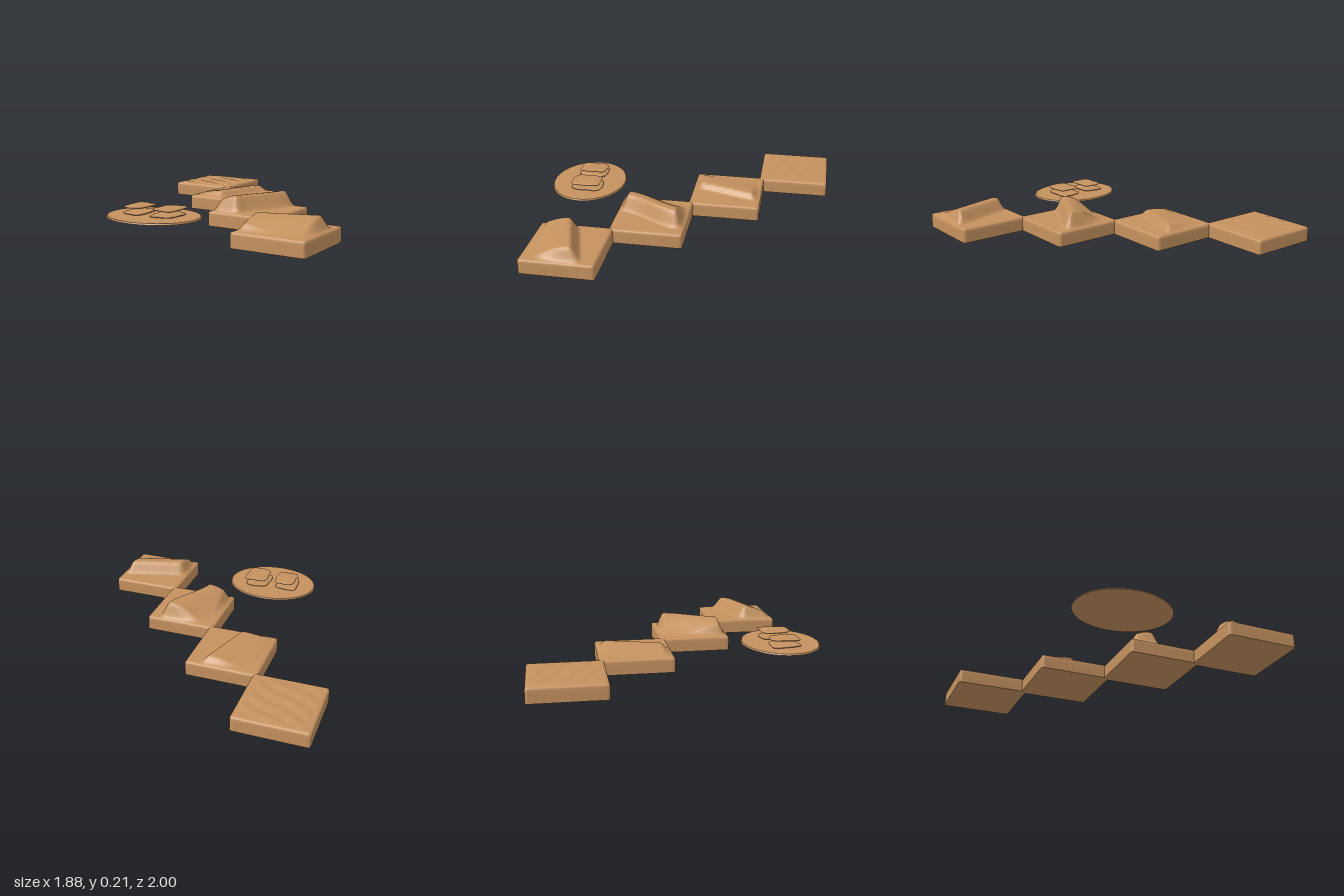
import * as THREE from 'three';
import { mergeVertices, toCreasedNormals } from 'three/addons/utils/BufferGeometryUtils.js';

const SIZE = 0.495, HEIGHT = 0.1, ROUND = 0.018;
const step = THREE.MathUtils.smoothstep;
const clamp = THREE.MathUtils.clamp;

// fades a feature out towards a tile edge
const fade = (v) => 1 - step(Math.abs(v), 0.175, 0.235);

// dune profile: gentle windward rise, crest, steep slip face (d = distance past slip centre)
function duneProfile(d, slip, rise) {
  if (d > -slip) return 1 - step(d, -slip, slip);
  const t = (-d - slip) / rise;
  return t < 1 ? 0.5 + 0.5 * Math.cos(Math.PI * t) : 0;
}

// square tile with rounded top edge and a height function on its top
function tileGeometry(heightAt) {
  const geo = new THREE.BoxGeometry(SIZE, HEIGHT, SIZE, 72, 10, 72);
  geo.deleteAttribute('uv');
  geo.deleteAttribute('normal');
  const pos = geo.attributes.position;
  const p = new THREE.Vector3(), inner = new THREE.Vector3();
  const lim = SIZE / 2 - ROUND;
  for (let i = 0; i < pos.count; i++) {
    p.fromBufferAttribute(pos, i);
    const isTop = p.y > HEIGHT / 2 - 1e-5;
    inner.set(clamp(p.x, -lim, lim), Math.min(p.y, HEIGHT / 2 - ROUND), clamp(p.z, -lim, lim));
    p.sub(inner);
    if (p.length() > ROUND) p.setLength(ROUND);
    p.add(inner);
    if (isTop) p.y += heightAt(p.x, p.z) * fade(p.x) * fade(p.z);
    pos.setXYZ(i, p.x, p.y + HEIGHT / 2, p.z);
  }
  return toCreasedNormals(mergeVertices(geo), 0.8);
}

// flat stone slab with a rounded-square outline and a slightly uneven rim
function slabGeometry(w, h, d, seed) {
  const geo = new THREE.SphereGeometry(1, 40, 16);
  geo.deleteAttribute('uv');
  geo.deleteAttribute('normal');
  const pos = geo.attributes.position;
  for (let i = 0; i < pos.count; i++) {
    const x = pos.getX(i), y = pos.getY(i), z = pos.getZ(i);
    const a = Math.atan2(z, x);
    const c = Math.abs(Math.cos(a)), s = Math.abs(Math.sin(a));
    const square = Math.pow(c ** 5 + s ** 5, -0.2);
    const wobble = 1 + 0.03 * Math.sin(3 * a + seed) + 0.02 * Math.sin(7 * a + seed * 2);
    const r = Math.pow(Math.hypot(x, z), 0.6) * square * wobble;
    pos.setXYZ(i, Math.cos(a) * r * w / 2, y * h / 2 + 0.002 * Math.sin(2 * a + seed) * r, Math.sin(a) * r * d / 2);
  }
  const merged = mergeVertices(geo);
  merged.computeVertexNormals();
  return merged;
}

export function createModel() {
  const model = new THREE.Group();
  const sand = new THREE.MeshStandardMaterial({ color: 0xc4915f });
  sand.name = 'sand';

  const add = (name, geo, x, y, z) => {
    const mesh = new THREE.Mesh(geo, sand);
    mesh.name = name;
    mesh.position.set(x, y, z);
    model.add(mesh);
    return mesh;
  };

  // four tiles in a diagonal row, from the back right to the front left
  const tiles = [
    ['rippledTile', (x, z) =>
      0.0035 + 0.003 * Math.sin(58 * (z * 0.87 - x * 0.5) + 0.9 * Math.sin(14 * x + 5 * z))],
    ['lowDuneTile', (x, z) =>
      0.04 * duneProfile(x - (0.064 - 0.316 * z), 0.025, 0.3)],
    ['highDuneTile', (x, z) =>
      0.106 * duneProfile(x - (0.14 - 0.18 * step(z, -0.22, 0.22)), 0.036, 0.3)],
    ['crossDuneTile', (x, z) =>
      0.086 * duneProfile(-z - (0.06 + 0.3 * x), 0.038, 0.3)],
  ];
  tiles.forEach(([name, heightAt], i) =>
    add(name, tileGeometry(heightAt), -0.695 + 0.463 * i, 0, -0.752 + 0.462 * i));

  // thin oval plate
  const plate = add('ovalPlate', new THREE.CylinderGeometry(0.98, 1, 0.01, 72), -0.217, 0.1, 0.73);
  plate.scale.set(0.325, 1, 0.266);

  // two stones, each a lower slab with a cap above it
  const stones = [
    { x: -0.326, z: 0.727, w: 0.155, d: 0.205, seed: 1, shift: -0.012 },
    { x: -0.103, z: 0.718, w: 0.172, d: 0.215, seed: 4, shift: -0.012 },
  ];
  for (const s of stones) {
    add('stoneBase', slabGeometry(s.w, 0.022, s.d, s.seed + 2), s.x + s.shift, 0.115, s.z);
    add('stoneCap', slabGeometry(s.w * 0.97, 0.022, s.d * 0.97, s.seed), s.x, 0.156, s.z);
  }
  return model;
}
